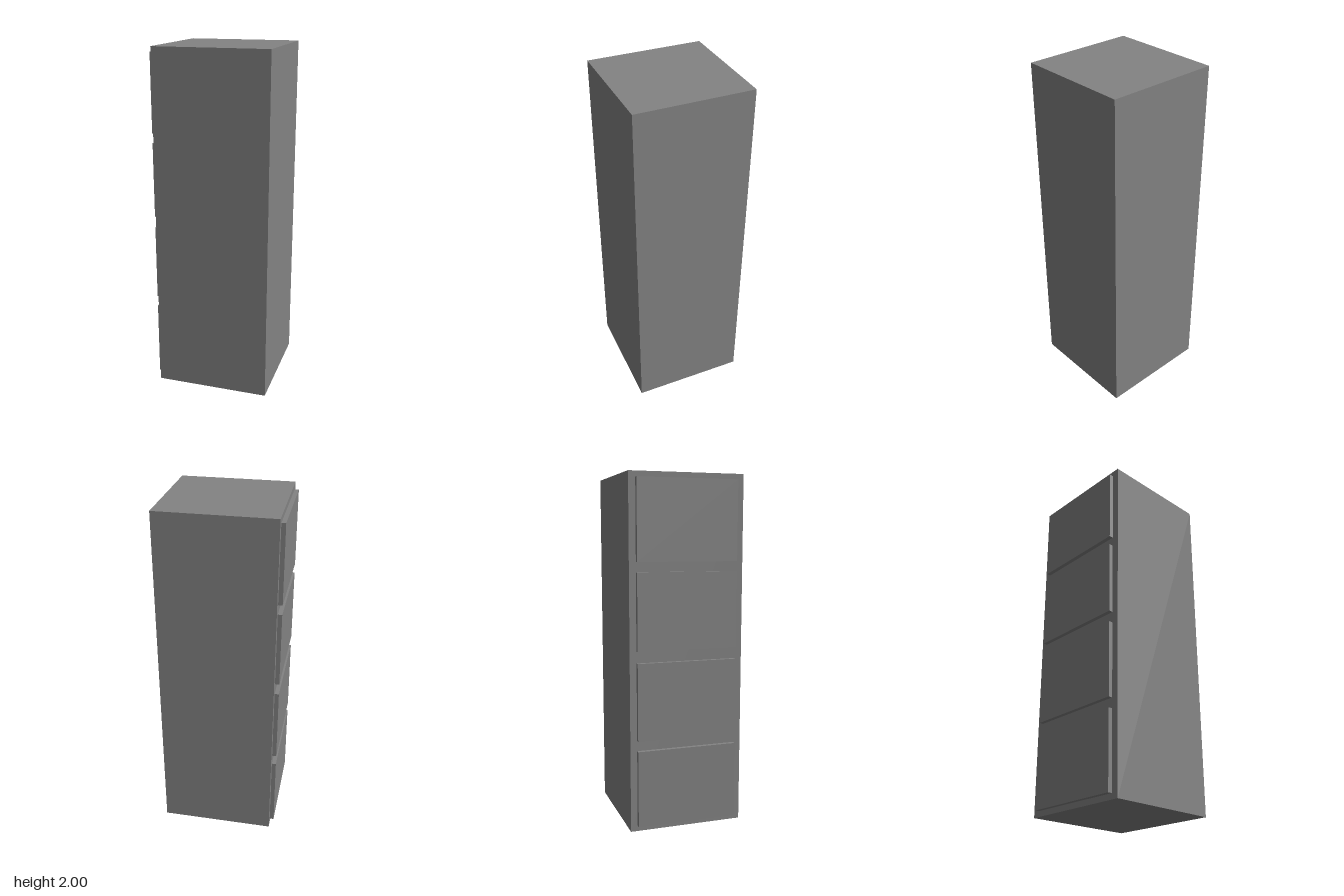
import * as THREE from 'three';

const material = new THREE.MeshStandardMaterial({ color: 0x838383, flatShading: true });

// Box given by its minimum and maximum corners
function box(name, [x0, y0, z0], [x1, y1, z1]) {
  const mesh = new THREE.Mesh(new THREE.BoxGeometry(x1 - x0, y1 - y0, z1 - z0), material);
  mesh.position.set((x0 + x1) / 2, (y0 + y1) / 2, (z0 + z1) / 2);
  mesh.name = name;
  return mesh;
}

export function createModel() {
  const cabinet = new THREE.Group();
  cabinet.name = 'filingCabinet';

  // Plain upright body
  cabinet.add(box('body', [-0.318, 0, -0.331], [0.342, 2, 0.331]));

  // Four drawer fronts standing proud of the -x side, bottom to top
  const drawers = [[0.032, 0.471], [0.531, 0.969], [1.034, 1.467], [1.522, 1.968]];
  drawers.forEach(([bottom, top], i) => {
    cabinet.add(box(`drawerFront${i + 1}`, [-0.342, bottom, -0.292], [-0.318, top, 0.289]));
  });

  return cabinet;
}
